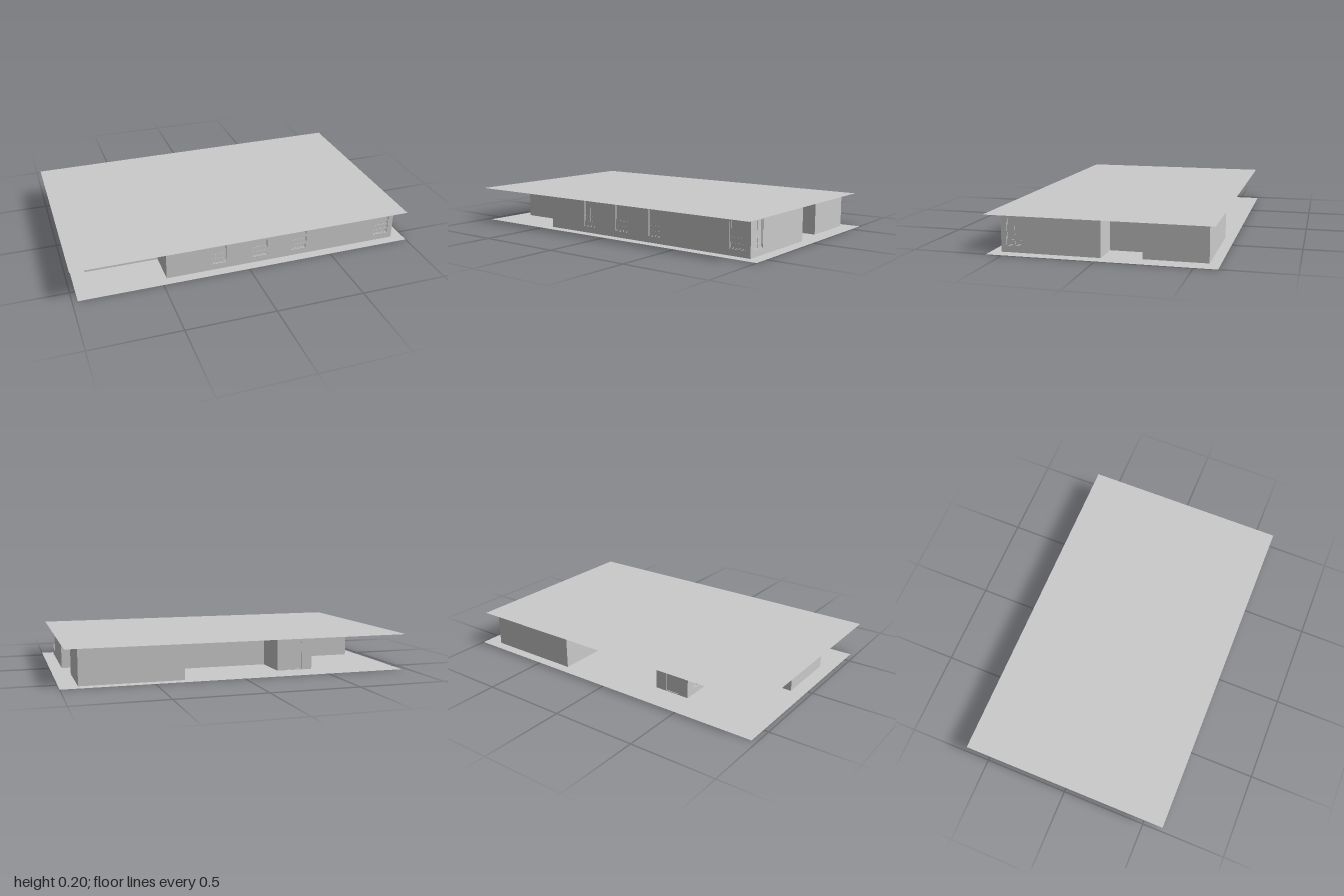
import * as THREE from 'three';

const H = 0.203; // storey height
const T = 0.016; // wall thickness
const SILL = 0.037, HEAD = 0.187; // window opening heights
const DOOR = 0.16; // door head height
const mat = new THREE.MeshStandardMaterial({ color: 0xcccccc, flatShading: true });
const sheetMat = new THREE.MeshStandardMaterial({ color: 0xcccccc, side: THREE.DoubleSide });

const rect = (shape, a, b, y0, y1) =>
  shape.moveTo(a, y0).lineTo(b, y0).lineTo(b, y1).lineTo(a, y1).closePath();

// Round-headed outline, from y0 up to the crown at y1
function arch(path, a, b, y0, y1) {
  const r = (b - a) / 2;
  path.moveTo(a, y0);
  path.lineTo(b, y0);
  path.lineTo(b, y1 - r);
  path.absarc((a + b) / 2, y1 - r, r, 0, Math.PI, false);
  path.lineTo(a, y0);
  return path;
}

function extrude(name, shape, depth) {
  const g = new THREE.ExtrudeGeometry(shape, { depth, bevelEnabled: false, curveSegments: 10 });
  const m = new THREE.Mesh(g.translate(0, 0, -depth / 2), mat);
  m.name = name;
  return m;
}

function bar(name, x, y, w, h, d) {
  const m = new THREE.Mesh(new THREE.BoxGeometry(w, h, d), mat);
  m.name = name;
  m.position.set(x, y, 0);
  return m;
}

// Framed window with a thin pane, low transoms and an optional mullion
function windowUnit({ a, b, mullion }) {
  const g = new THREE.Group();
  g.name = 'window';
  const c = (a + b) / 2, w = b - a, f = 0.005, d = 0.008;
  g.add(bar('pane', c, (SILL + HEAD) / 2, w, HEAD - SILL, 0.002));
  for (const x of [a + f / 2, b - f / 2]) g.add(bar('frameSide', x, (SILL + HEAD) / 2, f, HEAD - SILL, d));
  for (const y of [SILL + f / 2, HEAD - f / 2]) g.add(bar('frameRail', c, y, w - 2 * f, f, d));
  for (const y of [0.065, 0.095]) g.add(bar('transom', c, y, w - 2 * f, 0.003, d - 0.002));
  if (mullion) g.add(bar('mullion', c, (SILL + HEAD) / 2, 0.003, HEAD - SILL - 2 * f, d - 0.002));
  return g;
}

// Wall running along x or z, centred on pos, spanning from a to b, with openings cut through
function wall(name, axis, pos, a, b, openings = []) {
  const g = new THREE.Group();
  g.name = name;
  const shape = rect(new THREE.Shape(), a, b, 0, H);
  for (const o of openings) {
    if (o.type === 'window') {
      shape.holes.push(rect(new THREE.Path(), o.a, o.b, SILL, HEAD));
      g.add(windowUnit(o));
    } else if (o.type === 'archDoor') {
      shape.holes.push(arch(new THREE.Path(), o.a, o.b, 0.004, HEAD));
      g.add(extrude('archedDoor', arch(new THREE.Shape(), o.a, o.b, 0.004, HEAD), 0.006));
    } else {
      shape.holes.push(rect(new THREE.Path(), o.a, o.b, 0.003, DOOR));
    }
  }
  g.add(extrude('wallPanel', shape, T));
  if (axis === 'x') g.position.z = pos;
  else {
    g.rotation.y = -Math.PI / 2;
    g.position.x = pos;
  }
  return g;
}

// Flat sheet between two corners
function sheet(name, x0, x1, z0, z1, y) {
  const m = new THREE.Mesh(new THREE.PlaneGeometry(x1 - x0, z1 - z0).rotateX(-Math.PI / 2), sheetMat);
  m.name = name;
  m.position.set((x0 + x1) / 2, y, (z0 + z1) / 2);
  return m;
}

const win = (a, b, mullion = false) => ({ type: 'window', a, b, mullion });
const door = (a, b) => ({ type: 'door', a, b });

export function createModel() {
  const model = new THREE.Group();
  model.name = 'house';
  const e = T / 2;

  model.add(sheet('floor', -0.97, 1, -0.62, 0.59, 0));
  model.add(sheet('roof', -1, 0.97, -0.6, 0.615, H));

  const walls = [
    // Main front and the right-hand front room
    ['frontWall', 'x', 0.533 - e, -0.468, 0.93,
      [win(-0.205, -0.12, true), win(0.037, 0.13), win(0.28, 0.37), win(0.805, 0.9)]],
    ['frontRoomSideWall', 'z', 0.93 - e, -0.01, 0.533 - T, [win(0.415, 0.503, true)]],
    ['frontRoomBackWall', 'x', -0.01 + e, 0.51, 0.93 - T],
    ['frontRoomInnerWall', 'z', 0.51, -0.228, 0.533 - T, [door(-0.005, 0.07)]],
    // Hall running front to back
    ['hallOuterWall', 'z', -0.468 + e, -0.455, 0.533 - T, [win(-0.4, -0.31, true), door(0.2, 0.28)]],
    ['hallBackWall', 'x', -0.455 + e, -0.468 + T, -0.255, [{ type: 'archDoor', a: -0.405, b: -0.32 }]],
    ['hallInnerWall', 'z', -0.263, -0.455 + T, 0.33, [door(-0.03, 0.04)]],
    // Central room
    ['centralBackWall', 'x', -0.228, -0.255, 0.502],
    ['centralFrontWall', 'x', 0.322, -0.255, 0.502],
    // Left wing
    ['wingBackWall', 'x', -0.045 + e, -0.89, -0.468],
    ['wingFrontWall', 'x', 0.322, -0.89, -0.468],
    ['wingSideWall', 'z', -0.89 + e, -0.045 + T, 0.322 - e],
    // Back room
    ['backRoomBackWall', 'x', -0.563 + e, 0.325, 0.9],
    ['backRoomInnerWall', 'z', 0.325 + e, -0.563 + T, -0.236],
    ['backRoomOuterWall', 'z', 0.9 - e, -0.563 + T, -0.22],
    ['backRoomFrontWall', 'x', -0.228, 0.518, 0.9 - T],
    // Closet and recessed wall between the two right-hand rooms
    ['closetWall', 'z', 0.62, -0.22, -0.01],
    ['closetInnerWall', 'z', 0.545, -0.22, -0.01],
    ['recessWall', 'z', 0.755, -0.22, -0.01],
  ];
  for (const w of walls) model.add(wall(...w));
  return model;
}
